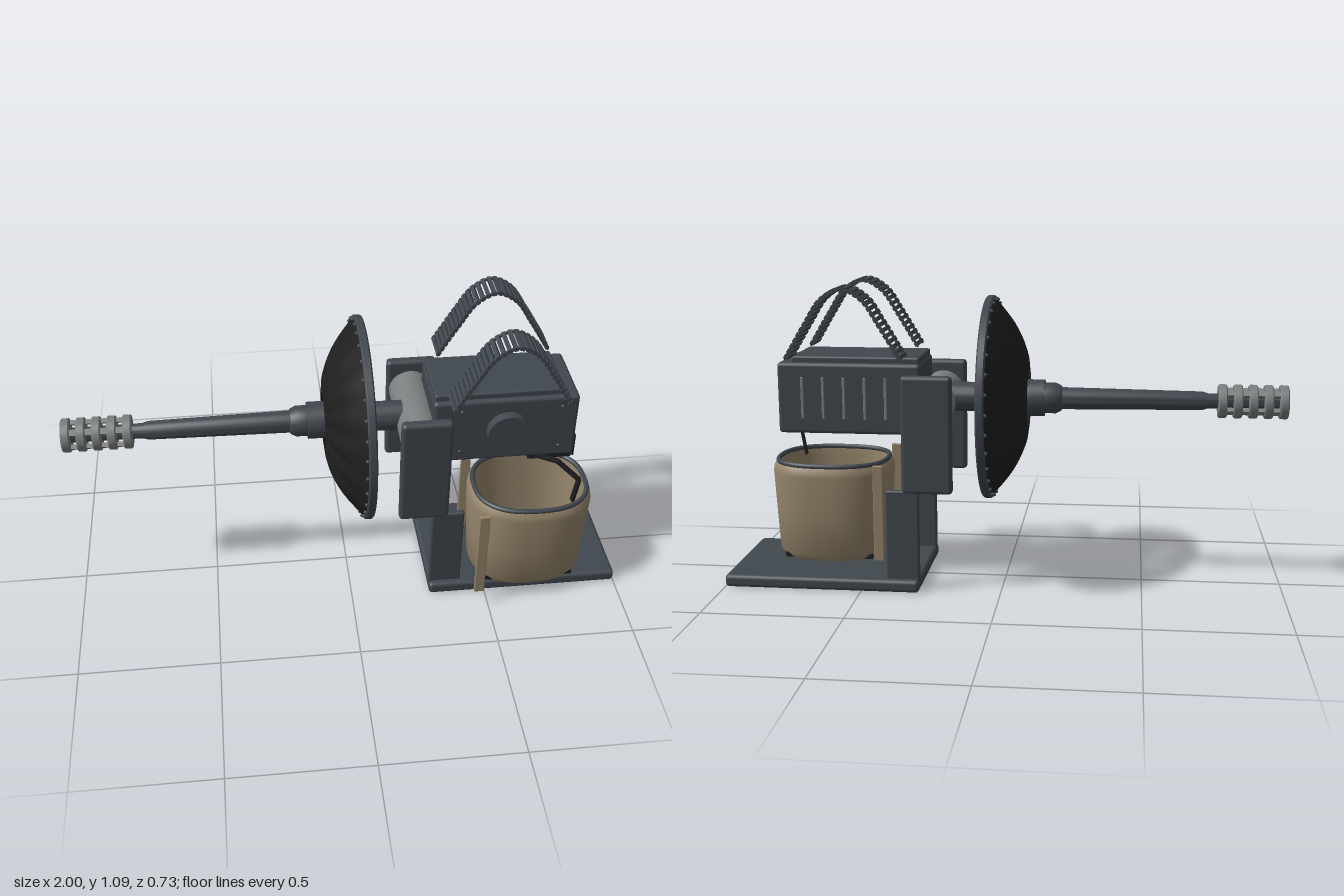
import * as THREE from 'three';
import { RoundedBoxGeometry } from 'three/addons/geometries/RoundedBoxGeometry.js';
import { toCreasedNormals } from 'three/addons/utils/BufferGeometryUtils.js';

const material = (name, color, side = THREE.FrontSide) => {
  const m = new THREE.MeshStandardMaterial({ color, side });
  m.name = name;
  return m;
};

export function createModel() {
  const slate = material('slate metal', 0x40474e);
  const black = material('black metal', 0x201f1f, THREE.DoubleSide);
  const tan = material('tan canvas', 0x94846a, THREE.DoubleSide);
  const steel = material('bare steel', 0x7b7e7e);
  const model = new THREE.Group();
  const AXIS = 0.675; // barrel height

  function add(name, geometry, mat, x = 0, y = 0, z = 0, parent = model) {
    const mesh = new THREE.Mesh(geometry, mat);
    mesh.name = name;
    mesh.position.set(x, y, z);
    parent.add(mesh);
    return mesh;
  }
  // Box given by its limits, with softened edges
  function block(name, mat, [x0, x1], [y0, y1], [z0, z1], bevel = 0.008) {
    const size = [x1 - x0, y1 - y0, z1 - z0];
    const r = Math.min(bevel, Math.min(...size) * 0.4);
    return add(name, new RoundedBoxGeometry(...size, 2, r), mat, (x0 + x1) / 2, (y0 + y1) / 2, (z0 + z1) / 2);
  }
  // Turned part along x from [radius, x] points
  function turned(name, mat, points, sides = 32) {
    const g = new THREE.LatheGeometry(points.map(p => new THREE.Vector2(...p)), sides);
    g.rotateZ(-Math.PI / 2);
    return add(name, toCreasedNormals(g, 0.6), mat, 0, AXIS, 0);
  }

  // Base and stand
  block('basePlate', slate, [0.29, 1], [0, 0.045], [-0.235, 0.235], 0.014);
  for (const s of [-1, 1]) {
    const span = (a, b) => (s > 0 ? [a, b] : [-b, -a]);
    block('standPost', slate, [0.29, 0.41], [0.03, 0.37], span(0.185, 0.21));
    block('cradlePlate', slate, [0.17, 0.35], [0.36, 0.78], span(0.176, 0.217), 0.014);
  }
  const trunnion = new THREE.CylinderGeometry(0.077, 0.077, 0.355, 32);
  add('trunnion', trunnion.rotateX(Math.PI / 2), steel, 0.255, 0.663, 0);

  // Receiver with top cover
  block('receiver', slate, [0.29, 0.805], [0.555, 0.81], [-0.14, 0.14], 0.014);
  block('topCover', slate, [0.295, 0.755], [0.8, 0.832], [-0.122, 0.122]);
  block('ejectorTray', black, [0.64, 0.8], [0.54, 0.562], [0.055, 0.135], 0.004);
  block('ejectorPort', black, [0.802, 0.809], [0.545, 0.635], [0.055, 0.135], 0.002);
  const drum = new THREE.CylinderGeometry(0.075, 0.075, 0.04, 32).rotateX(Math.PI / 2);
  add('sideDrum', drum, slate, 0.555, 0.685, 0.155);
  for (let i = 0; i < 5; i++) {
    const x = 0.41 + i * 0.075;
    block('coolingRib', steel, [x, x + 0.01], [0.61, 0.76], [-0.145, -0.138], 0.002);
  }
  for (const x of [0.39, 0.745]) for (const y of [0.6, 0.77]) {
    add('rivet', new THREE.SphereGeometry(0.007, 10, 8), slate, x, y, 0.14);
  }

  // Barrel, collar and sleeve
  turned('barrel', slate, [[0, -0.985], [0.026, -0.985], [0.027, -0.72], [0.033, -0.7], [0.04, -0.18]]);
  turned('collar', slate, [[0.035, -0.205], [0.045, -0.2], [0.055, -0.18], [0.055, -0.14], [0.066, -0.14], [0.066, -0.075], [0.053, -0.07], [0.053, 0.2]]);

  // Muzzle brake: rings joined by diagonal bars
  const ringCount = 5, ringWidth = 0.031, pitch = 0.0535;
  for (let i = 0; i < ringCount; i++) {
    const a = -1 + i * pitch, b = a + ringWidth;
    turned('muzzleRing', steel, [[0.033, a], [0.056, a], [0.06, a + 0.004], [0.06, b - 0.004], [0.056, b], [0.026, b]]);
  }
  for (let i = 0; i < 4; i++) {
    const t = (i + 0.5) * Math.PI / 2;
    const bar = add('muzzleBar', new THREE.BoxGeometry(0.24, 0.016, 0.022), steel, -0.876, AXIS + 0.043 * Math.sin(t), 0.043 * Math.cos(t));
    bar.rotation.x = Math.PI / 2 - t;
  }

  // Fluted dish shield with a central opening
  const profile = new THREE.SplineCurve([[0.1, -0.083], [0.18, -0.066], [0.27, -0.022], [0.355, 0.042]].map(p => new THREE.Vector2(...p)));
  const dish = new THREE.LatheGeometry(profile.getPoints(12), 96);
  const dp = dish.attributes.position;
  for (let i = 0; i < dp.count; i++) {
    const x = dp.getX(i), z = dp.getZ(i), r = Math.hypot(x, z);
    const flute = 0.005 * Math.sin(Math.PI * (r - 0.1) / 0.255) * Math.cos(16 * Math.atan2(z, x));
    dp.setY(i, dp.getY(i) + flute);
  }
  dish.computeVertexNormals();
  add('dishShield', dish.rotateZ(-Math.PI / 2), black, 0, AXIS, 0);
  turned('dishRim', slate, [[0.342, 0.04], [0.36, 0.04], [0.365, 0.045], [0.365, 0.065], [0.36, 0.07], [0.342, 0.07], [0.342, 0.04]], 64);
  for (let i = 0; i < 32; i++) {
    const t = i * Math.PI / 16;
    add('rimRivet', new THREE.SphereGeometry(0.007, 8, 6), slate, 0.037, AXIS + 0.353 * Math.sin(t), 0.353 * Math.cos(t));
  }

  // Arched linked belts over the receiver
  const arch = new THREE.CatmullRomCurve3([[0.342, 0.835], [0.415, 0.957], [0.475, 1.045], [0.545, 1.08], [0.615, 1.045], [0.675, 0.957], [0.748, 0.835]].map(p => new THREE.Vector3(p[0], p[1], 0)));
  const linkCount = 30;
  for (const s of [-1, 1]) {
    const belt = new THREE.Group();
    belt.name = 'archedBelt';
    belt.position.z = s * 0.177;
    model.add(belt);
    for (let i = 0; i < linkCount; i++) {
      const u = (i + 0.5) / linkCount, p = arch.getPointAt(u), t = arch.getTangentAt(u);
      const parts = [['beltLink', 0.014, 0.015, 0.112, 0], ['beltEdge', 0.023, 0.008, 0.01, 0.051], ['beltEdge', 0.023, 0.008, 0.01, -0.051]];
      for (const [name, w, h, d, z] of parts) {
        add(name, new THREE.BoxGeometry(w, h, d), slate, p.x, p.y, z, belt).rotation.z = Math.atan2(t.y, t.x);
      }
    }
  }

  // Open canvas bucket: rounded oval with tapered wall
  const bucket = new THREE.Group();
  bucket.name = 'bucket';
  bucket.position.set(0.665, 0, 0.105);
  model.add(bucket);
  const oval = (t, scale, y) => {
    const round = v => Math.sign(v) * Math.abs(v) ** 0.8;
    return new THREE.Vector3(0.225 * scale * round(Math.cos(t)), y, 0.19 * scale * round(Math.sin(t)));
  };
  const wall = new THREE.LatheGeometry([[0, 0.052], [0.85, 0.052], [0.93, 0.078], [0.965, 0.22], [1, 0.375], [0.985, 0.395], [0.92, 0.415], [0.9, 0.38], [0.86, 0.08], [0, 0.075]].map(p => new THREE.Vector2(...p)), 48);
  const wp = wall.attributes.position;
  for (let i = 0; i < wp.count; i++) {
    const x = wp.getX(i), z = wp.getZ(i);
    const v = oval(Math.atan2(z, x), Math.hypot(x, z), wp.getY(i));
    wp.setXYZ(i, v.x, v.y, v.z);
  }
  add('bucketWall', toCreasedNormals(wall, 0.6), tan, 0, 0, 0, bucket);
  const rimPoints = Array.from({ length: 48 }, (_, i) => oval(i * Math.PI / 24, 0.915, 0.415));
  add('bucketRim', new THREE.TubeGeometry(new THREE.CatmullRomCurve3(rimPoints, true), 96, 0.009, 8, true), slate, 0, 0, 0, bucket);
  for (const x of [-0.147, 0.147]) for (const z of [-0.115, 0.115]) {
    add('bucketFoot', new THREE.BoxGeometry(0.035, 0.018, 0.035), black, x, 0.064, z, bucket);
  }
  // Upright slats beside the bucket
  block('canvasSlat', tan, [0.445, 0.482], [0.065, 0.425], [0.292, 0.307], 0.003);
  block('canvasSlat', tan, [0.445, 0.482], [0.065, 0.425], [-0.08, -0.065], 0.003);

  // Bent feed strip from receiver to bucket
  const bend = [[0.66, 0.552, 0.12], [0.74, 0.555, 0.175], [0.817, 0.49, 0.208], [0.802, 0.4, 0.21]].map(p => new THREE.Vector3(...p));
  for (let i = 0; i < bend.length - 1; i++) {
    const length = bend[i].distanceTo(bend[i + 1]);
    const strip = add('feedStrip', new THREE.BoxGeometry(0.02, 0.01, length + 0.008), black);
    strip.position.lerpVectors(bend[i], bend[i + 1], 0.5);
    strip.lookAt(bend[i + 1]);
  }
  return model;
}
